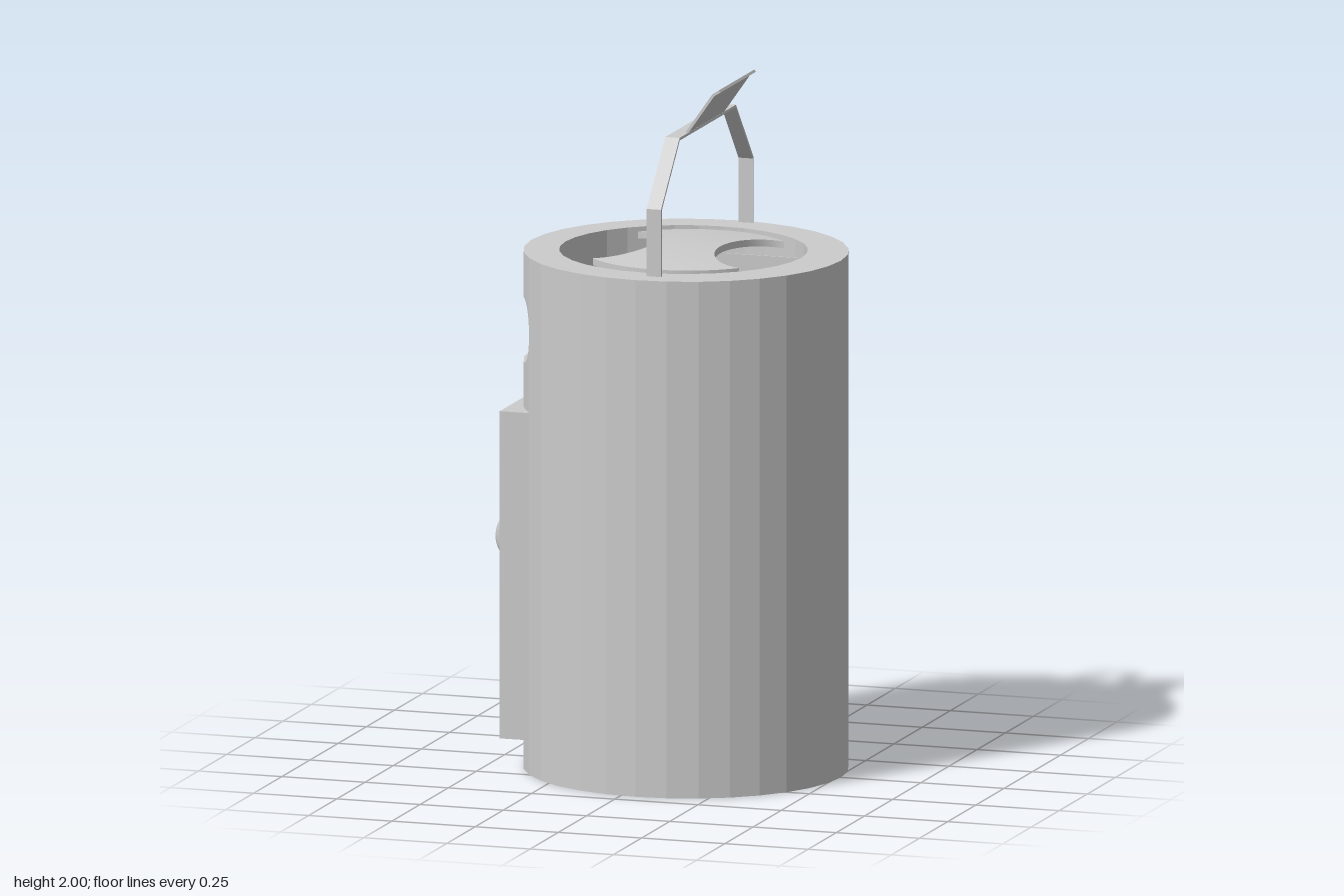
import * as THREE from 'three';
import { toCreasedNormals } from 'three/addons/utils/BufferGeometryUtils.js';

const grey = new THREE.MeshStandardMaterial({ color: 0xcccccc });
const thin = new THREE.MeshStandardMaterial({ color: 0xcccccc, side: THREE.DoubleSide });

function add(parent, name, geometry, material = grey) {
  const mesh = new THREE.Mesh(geometry, material);
  mesh.name = name;
  parent.add(mesh);
  return mesh;
}

// Box given by its limits on each axis
function span(parent, name, [x0, x1], [y0, y1], [z0, z1]) {
  const mesh = add(parent, name, new THREE.BoxGeometry(x1 - x0, y1 - y0, z1 - z0));
  mesh.position.set((x0 + x1) / 2, (y0 + y1) / 2, (z0 + z1) / 2);
  return mesh;
}

// Faceted hollow drum with a rounded slot through the wall on the -x side
function drumGeometry() {
  const SIDES = 32, TOP = 1.5, FLOOR = 0.04, SLOT_Y = 1.275, SLOT_R = 0.095, SUB = 10;
  const slotHalf = 0.268;
  const pos = [];
  const tri = (...p) => p.forEach(v => pos.push(v.x, v.y, v.z));
  const quad = (a, b, c, d) => tri(a, b, c, a, c, d);
  const ring = (cx, cz, rx, rz) => (s, y) => {
    const k = Math.floor(s), f = s - k;
    const at = i => {
      const t = i / SIDES * Math.PI * 2;
      return new THREE.Vector3(cx + rx * Math.cos(t), y, cz + rz * Math.sin(t));
    };
    return at(k).lerp(at(k + 1), f);
  };
  const outer = ring(0.045, 0, 0.465, 0.45);
  const inner = ring(0.035, -0.007, 0.355, 0.348);
  const halfHeight = s => {
    const a = Math.abs(s - SIDES / 2) / 3 * slotHalf;
    const e = Math.max(0, a - (slotHalf - SLOT_R));
    return Math.sqrt(Math.max(0, SLOT_R ** 2 - e ** 2));
  };
  const wall = (s0, s1, l0, l1, h0, h1, low) => {
    quad(outer(s0, l0), outer(s0, h0), outer(s1, h1), outer(s1, l1));
    const i0 = low ? FLOOR : l0, i1 = low ? FLOOR : l1;
    quad(inner(s0, i0), inner(s1, i1), inner(s1, h1), inner(s0, h0));
  };
  const ledge = (s0, s1, y0, y1, up) => {
    const p = [outer(s0, y0), inner(s0, y0), inner(s1, y1), outer(s1, y1)];
    quad(...(up ? p : p.reverse()));
  };
  for (let k = 0; k < SIDES; k++) {
    const inSlot = k >= SIDES / 2 - 3 && k < SIDES / 2 + 3;
    const n = inSlot ? SUB : 1;
    for (let j = 0; j < n; j++) {
      const s0 = k + j / n, s1 = k + (j + 1) / n;
      if (inSlot) {
        const h0 = halfHeight(s0), h1 = halfHeight(s1);
        wall(s0, s1, 0, 0, SLOT_Y - h0, SLOT_Y - h1, true);
        wall(s0, s1, SLOT_Y + h0, SLOT_Y + h1, TOP, TOP, false);
        ledge(s0, s1, SLOT_Y - h0, SLOT_Y - h1, true);
        ledge(s0, s1, SLOT_Y + h0, SLOT_Y + h1, false);
      } else {
        wall(s0, s1, 0, 0, TOP, TOP, true);
      }
      ledge(s0, s1, TOP, TOP, true);
      tri(new THREE.Vector3(0.045, 0, 0), outer(s0, 0), outer(s1, 0));
      tri(new THREE.Vector3(0.035, FLOOR, 0), inner(s1, FLOOR), inner(s0, FLOOR));
    }
  }
  const g = new THREE.BufferGeometry();
  g.setAttribute('position', new THREE.Float32BufferAttribute(pos, 3));
  g.computeVertexNormals();
  return g;
}

// Shallow domed lid with an oval bite on each side, built from rows across z
function lidGeometry() {
  const R = 0.297, TIP = 0.2, COLS = 12, THICK = 0.02;
  const tipX = Math.sqrt(R * R - TIP * TIP), phi = Math.asin(TIP / R);
  const rows = [];
  for (let i = 0; i <= 10; i++) {
    const t = Math.PI / 2 - (Math.PI / 2 - phi) * i / 10;
    rows.push([-R * Math.sin(t), R * Math.cos(t)]);
  }
  for (let i = 1; i < 28; i++) {
    const t = -Math.PI / 2 + Math.PI * i / 28;
    rows.push([TIP * Math.sin(t), tipX - (tipX - 0.095) * Math.cos(t)]);
  }
  for (let i = 10; i >= 0; i--) rows.push([-rows[i][0], rows[i][1]]);
  const pos = [], idx = [], loop = 2 * (COLS + 1);
  for (const [z, w] of rows) {
    for (let i = 0; i < loop; i++) {
      const under = i > COLS;
      const u = under ? loop - 1 - i : i;
      const x = w * (2 * u / COLS - 1);
      pos.push(x, 0.018 - 0.2 * (x * x + z * z) - (under ? THICK : 0), z);
    }
  }
  for (let r = 0; r < rows.length - 1; r++) {
    for (let i = 0; i < loop; i++) {
      const a = r * loop + i, b = r * loop + (i + 1) % loop;
      idx.push(a, a + loop, b, b, a + loop, b + loop);
    }
  }
  const g = new THREE.BufferGeometry();
  g.setAttribute('position', new THREE.Float32BufferAttribute(pos, 3));
  g.setIndex(idx);
  return toCreasedNormals(g, 0.6);
}

// Flat band following a path of [a, b] points, with thickness t and width along the extrusion
function bandGeometry(path, t, width) {
  const pts = path.map(p => new THREE.Vector2(...p));
  const offset = pts.map((p, i) => {
    const dir = pts[Math.min(i + 1, pts.length - 1)].clone().sub(pts[Math.max(i - 1, 0)]).normalize();
    return new THREE.Vector2(p.x + dir.y * t, p.y - dir.x * t);
  });
  const shape = new THREE.Shape([...pts, ...offset.reverse()]);
  return new THREE.ExtrudeGeometry(shape, { depth: width, bevelEnabled: false });
}

export function createModel() {
  const model = new THREE.Group();
  model.name = 'wasteBin';

  add(model, 'drum', drumGeometry());
  add(model, 'lid', lidGeometry(), thin).position.set(0.05, 1.5, -0.006);

  // Inner walls that split the drum into compartments
  span(model, 'crossDivider', [-0.007, -0.003], [0.04, 1.49], [-0.35, 0.335]);
  span(model, 'sideDivider', [-0.005, 0.385], [0.04, 1.49], [-0.047, -0.043]);

  // Carrying arch: a flat band over the rim
  const arch = [[0.385, 1.5], [0.385, 1.695], [0.22, 1.872], [-0.28, 1.872], [-0.437, 1.69], [-0.437, 1.5]];
  const handle = add(model, 'carryArch',
    bandGeometry(arch.map(([z, y]) => [-z, y]), 0.008, 0.043), thin);
  handle.rotation.y = Math.PI / 2;
  handle.position.x = 0.057;

  // Tilted plate with a small lip on top of the arch
  const plate = add(model, 'tiltedPlate',
    bandGeometry([[0.087, 1.868], [0.17, 1.987], [0.19, 2.0]], 0.008, 0.315), thin);
  plate.position.z = -0.178;

  // Double doors with inner jambs and curved pulls
  const doors = new THREE.Group();
  doors.name = 'doors';
  model.add(doors);
  const Y = [0.1, 1.05];
  span(doors, 'backDoor', [-0.43, -0.318], Y, [-0.275, -0.014]);
  span(doors, 'frontDoor', [-0.43, -0.318], Y, [-0.01, 0.25]);
  span(doors, 'backJamb', [-0.33, -0.292], Y, [-0.2, -0.09]);
  span(doors, 'frontJamb', [-0.33, -0.292], Y, [0.06, 0.2]);
  for (const [name, x, z] of [['backPull', -0.428, -0.081], ['frontPull', -0.42, 0.058]]) {
    const pull = add(doors, name, new THREE.TorusGeometry(0.064, 0.023, 12, 24, Math.PI));
    pull.rotation.z = Math.PI / 2;
    pull.position.set(x, 0.65, z);
  }
  return model;
}
